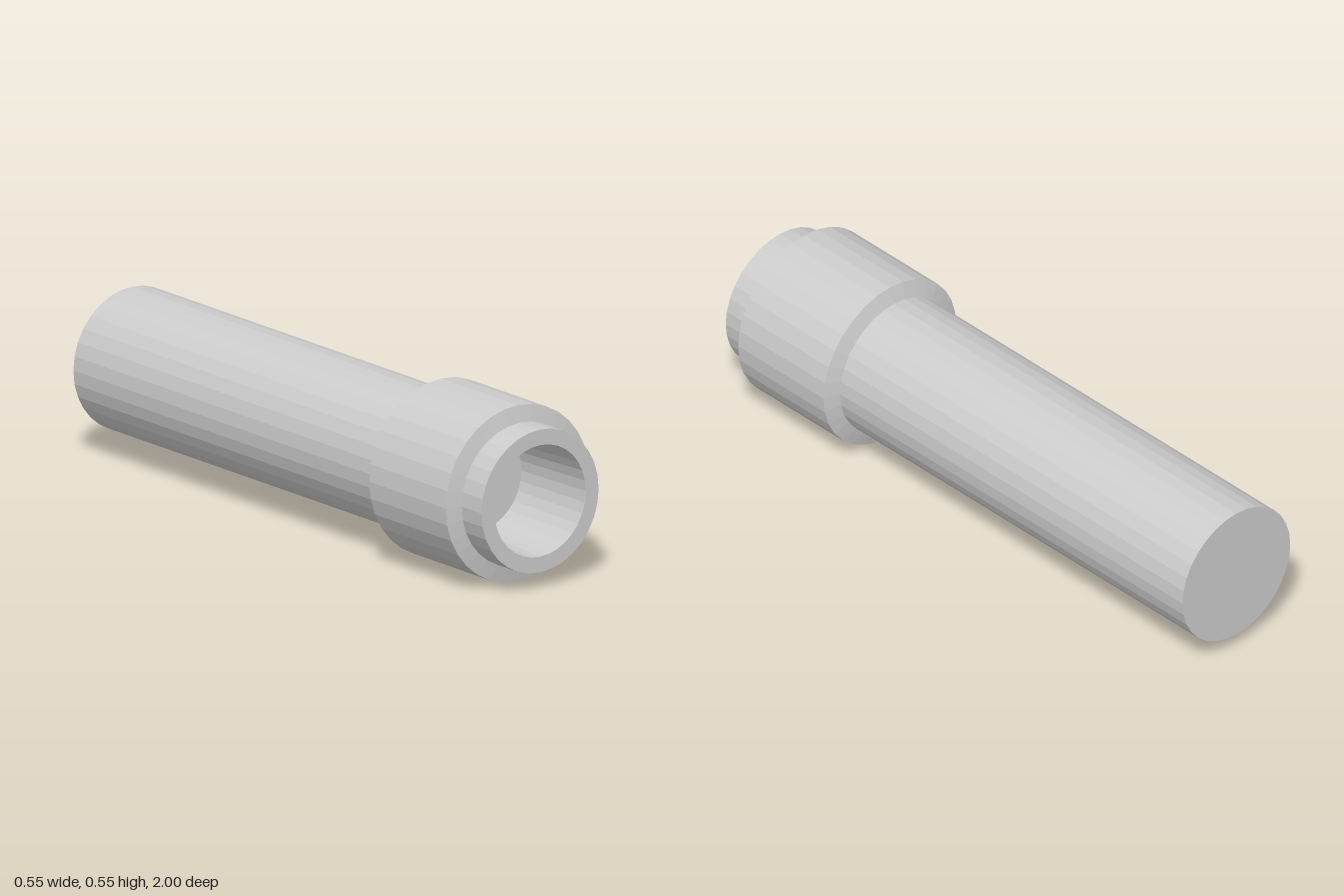
import * as THREE from 'three';

const SIDES = 32;
const R_TUBE = 0.224, R_COLLAR = 0.276;

// Revolve [radius, z] pairs, listed back to front, about the z axis.
function turned(name, profile, material) {
  const points = profile.map(([r, z]) => new THREE.Vector2(r, z));
  const geometry = new THREE.LatheGeometry(points, SIDES);
  geometry.rotateX(Math.PI / 2);
  const mesh = new THREE.Mesh(geometry, material);
  mesh.name = name;
  mesh.position.y = R_COLLAR;
  return mesh;
}

export function createModel() {
  const group = new THREE.Group();
  group.name = 'tubeWithCollar';
  const material = new THREE.MeshStandardMaterial({ color: 0xcccccc, flatShading: true });

  // Long tube, closed at the back, with a slightly tapered blind bore at the front
  group.add(turned('tube', [
    [0, -1], [R_TUBE, -1], [R_TUBE, 1], [0.175, 1], [0.1625, 0.7], [0, 0.7],
  ], material));

  // Raised collar with bevelled ends
  group.add(turned('collar', [
    [R_TUBE, 0.5], [R_COLLAR, 0.517], [R_COLLAR, 0.891], [R_TUBE, 0.902],
  ], material));

  return group;
}
